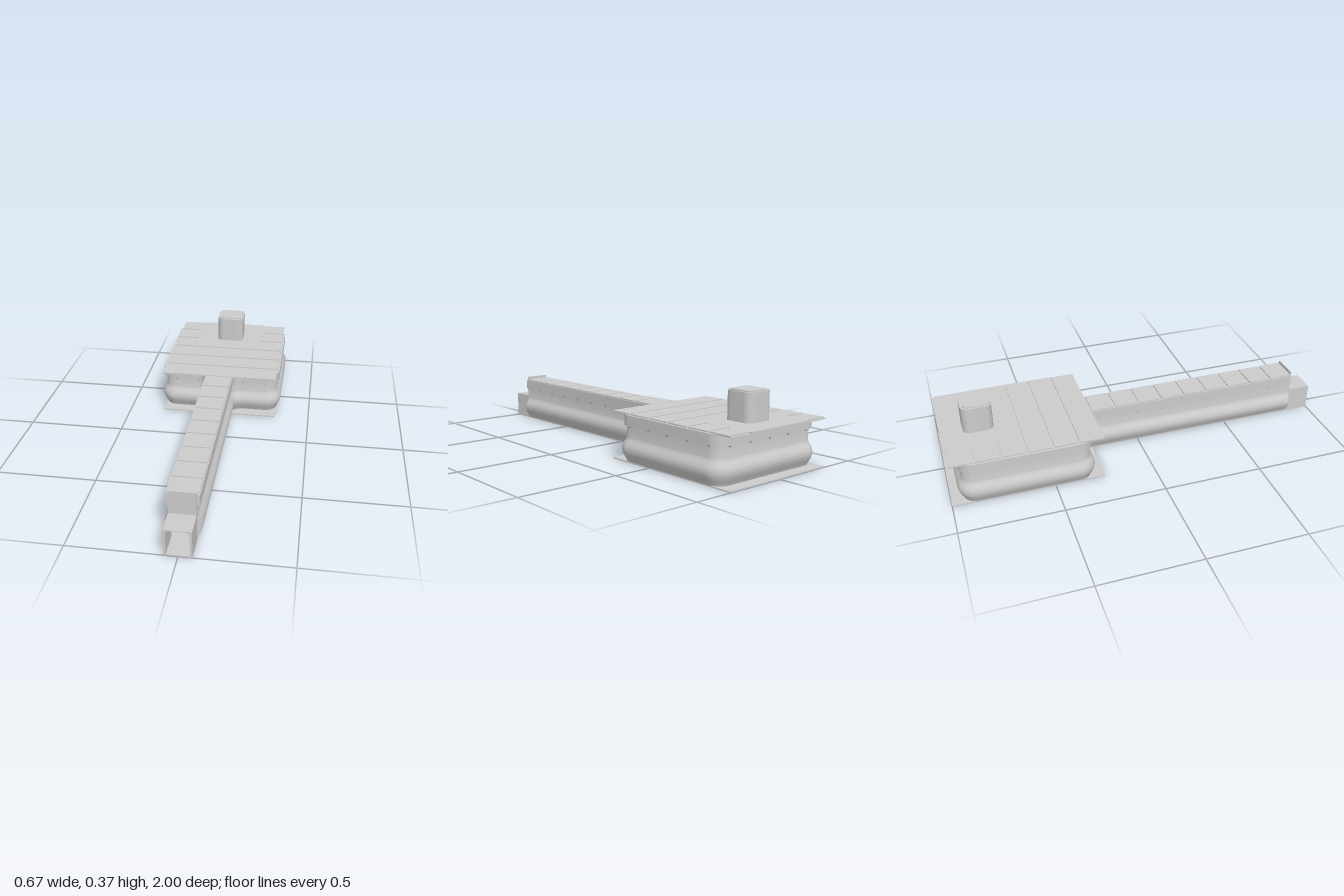
import * as THREE from 'three';
import { toCreasedNormals } from 'three/addons/utils/BufferGeometryUtils.js';

const GREY = new THREE.MeshStandardMaterial({ color: 0xcccccc });
const SHEET = new THREE.MeshStandardMaterial({ color: 0xcccccc, side: THREE.DoubleSide });

// Wall section: outward offset and height
const PROFILE = [
  [0, 0.006], [0.003, 0.014], [0.011, 0.028], [0.019, 0.045], [0.0235, 0.065],
  [0.02, 0.083], [0.011, 0.1], [0.003, 0.112], [0, 0.122],
  [0, 0.178], [0.0125, 0.178], [0.0125, 0.228], [-0.004, 0.228],
];

export function createModel() {
  const group = new THREE.Group();

  const add = (name, geometry, material = GREY, parent = group) => {
    const mesh = new THREE.Mesh(geometry, material);
    mesh.name = name;
    parent.add(mesh);
    return mesh;
  };
  // Box given by its limits
  const box = (name, x0, x1, y0, y1, z0, z1, parent = group) => {
    const mesh = add(name, new THREE.BoxGeometry(x1 - x0, y1 - y0, z1 - z0), GREY, parent);
    mesh.position.set((x0 + x1) / 2, (y0 + y1) / 2, (z0 + z1) / 2);
    return mesh;
  };
  const subgroup = (name) => {
    const g = new THREE.Group();
    g.name = name;
    group.add(g);
    return g;
  };

  // Half of the T-shaped footprint, as points with outward normals
  const R = 0.0625;
  const half = [{ x: R, z: 0.875, nx: 1, nz: 0 }];
  const arc = (cx, cz, from, to, sign) => {
    for (let i = 0; i <= 10; i++) {
      const a = from + ((to - from) * i) / 10;
      const c = Math.cos(a), s = Math.sin(a);
      half.push({ x: cx + R * c, z: cz + R * s, nx: sign * c, nz: sign * s });
    }
  };
  arc(0.125, -0.25, Math.PI, Math.PI * 1.5, -1);
  arc(0.25, -0.375, Math.PI / 2, 0, 1);
  arc(0.25, -0.875, 0, -Math.PI / 2, 1);
  const path = [...half, ...half.slice().reverse().map((p) => ({ ...p, x: -p.x, nx: -p.nx }))];

  // Bulging wall swept round the footprint
  const positions = [], indices = [], n = PROFILE.length;
  path.forEach((p, i) => {
    PROFILE.forEach(([o, y], j) => {
      positions.push(p.x + p.nx * o, y, p.z + p.nz * o);
      if (i < path.length - 1 && j < n - 1) {
        const a = i * n + j, b = a + n;
        indices.push(a, b, a + 1, b, b + 1, a + 1);
      }
    });
  });
  const wall = new THREE.BufferGeometry();
  wall.setAttribute('position', new THREE.Float32BufferAttribute(positions, 3));
  wall.setIndex(indices);
  add('bulgedWall', toCreasedNormals(wall, 0.6), SHEET);

  // Opening shared by the entrance and the end of the passage
  const opening = () => new THREE.Path([
    [-0.052, 0.006], [0.052, 0.006], [0.052, 0.116], [0.042, 0.13], [-0.042, 0.13], [-0.052, 0.116],
  ].map(([x, y]) => new THREE.Vector2(x, y)));

  const side = PROFILE.slice(0, -1).map(([o, y]) => new THREE.Vector2(R + o, y));
  const endShape = new THREE.Shape([...side, ...side.slice().reverse().map((v) => new THREE.Vector2(-v.x, v.y))]);
  const endHole = opening();
  endShape.holes.push(endHole);
  add('passageEndWall', new THREE.ShapeGeometry(endShape), SHEET).position.z = 0.875;

  // Square entrance tunnel
  const frame = new THREE.Shape([[-R, 0], [R, 0], [R, 0.134], [-R, 0.134]].map(([x, y]) => new THREE.Vector2(x, y)));
  frame.holes.push(opening());
  add('entranceTunnel', new THREE.ExtrudeGeometry(frame, { depth: 0.125, bevelEnabled: false })).position.z = 0.875;
  box('entranceHeadboard', -R, R, 0.134, 0.248, 0.873, 0.882);

  // Floor
  box('chamberFloor', -0.3125, 0.3125, 0, 0.006, -1, -0.25);
  box('passageFloor', -R, R, 0, 0.006, -0.25, 0.875);

  // Roof sheets under the planks
  box('chamberRoof', -0.3125, 0.3125, 0.225, 0.229, -1, -0.25);
  box('passageRoof', -0.07, 0.07, 0.225, 0.229, -0.25, 0.875);

  // Roof planks with narrow gaps every eighth of a unit
  const planks = subgroup('roofPlanks');
  const gap = 0.006;
  for (let k = 0; k < 15; k++) {
    const z0 = -1 + k * 0.125, z1 = z0 + 0.125;
    const a = z0 + (k === 0 ? 0.012 : gap), b = z1 - (k === 5 || k === 14 ? 0 : gap);
    if (k < 2) {
      for (const s of [-1, 1]) {
        box('sidePlank', Math.min(s * 0.19, s * 0.3125), Math.max(s * 0.19, s * 0.3125), 0.229, 0.234, a, b, planks);
      }
    } else {
      const w = k < 6 ? 0.3125 : 0.07;
      box('plank', -w, w, 0.229, 0.234, a, b, planks);
    }
  }
  box('chimneyBasePlank', -0.19, 0.19, 0.229, 0.234, -1, -0.744, planks);

  // Rounded chimney with a thin cap
  const roundedBlock = (name, h, r, y0, y1) => {
    const s = new THREE.Shape();
    const c = h - r;
    s.absarc(c, c, r, 0, Math.PI / 2);
    s.absarc(-c, c, r, Math.PI / 2, Math.PI);
    s.absarc(-c, -c, r, Math.PI, Math.PI * 1.5);
    s.absarc(c, -c, r, Math.PI * 1.5, Math.PI * 2);
    const g = new THREE.ExtrudeGeometry(s, { depth: y1 - y0, bevelEnabled: false, curveSegments: 8 });
    g.rotateX(-Math.PI / 2);
    add(name, toCreasedNormals(g, 0.6)).position.set(0, y0, -0.8125);
  };
  roundedBlock('chimney', 0.075, 0.036, 0.229, 0.369);
  roundedBlock('chimneyCap', 0.0635, 0.026, 0.369, 0.374);

  // Small pointed brackets under the eaves band
  const brackets = subgroup('eavesBrackets');
  const bracketShape = new THREE.ConeGeometry(0.012, 0.012, 4).rotateX(Math.PI);
  const bracket = (x, z) => add('bracket', bracketShape, GREY, brackets).position.set(x, 0.172, z);
  for (const s of [-1, 1]) {
    for (let z = 0.75; z > -0.3; z -= 0.125) bracket(s * R, z);
    for (let z = -0.375; z > -0.9; z -= 0.125) bracket(s * 0.3125, z);
    for (const x of [0.125, 0.25]) {
      bracket(s * x, -0.3125);
      bracket(s * x, -0.9375);
    }
  }
  bracket(0, -0.9375);

  return group;
}
